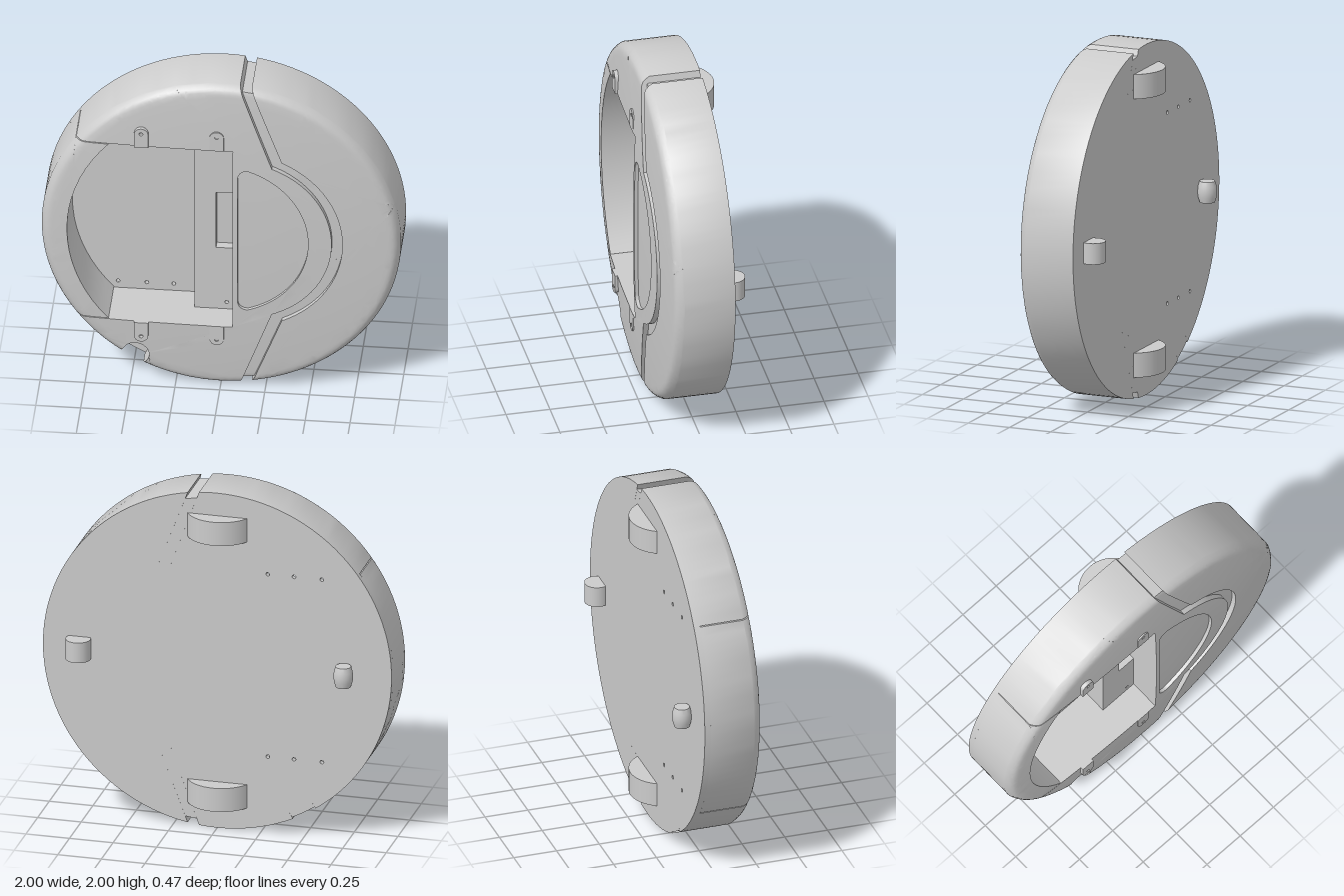
import * as THREE from 'three';
import { toCreasedNormals } from 'three/addons/utils/BufferGeometryUtils.js';

const BACK = -0.135, FLOOR = -0.1, CAVITY = 0.59;
const rad = THREE.MathUtils.degToRad;
const material = new THREE.MeshStandardMaterial({ color: 0xcccccc });
const P = (x, y) => new THREE.Vector2(x, y);

// Points along an arc, angles in degrees
function arc(cx, cy, r, a0, a1, step = 3) {
  const n = Math.max(2, Math.ceil(Math.abs(a1 - a0) / step));
  return Array.from({ length: n + 1 }, (_, i) => {
    const a = rad(a0 + (a1 - a0) * i / n);
    return P(cx + r * Math.cos(a), cy + r * Math.sin(a));
  });
}

// Front surface height: shallow crown with a rounded rim, lowered by `drop`
const crown = (drop = 0) => (x, y) => {
  const r = Math.hypot(x, y);
  const u = Math.max(0, (r - 0.94) / 0.06);
  return 0.237 - 0.04 * r ** 2.5 - 0.045 * u ** 3 - drop;
};
const flat = z => () => z;

// Extrude an outline from z = back up to the surface front(x, y),
// halving edges until the curved surface is followed closely
function plate(name, outline, back, front, holes = []) {
  const shape = new THREE.Shape(outline);
  for (const h of holes) shape.holes.push(new THREE.Path(h));
  const src = new THREE.ExtrudeGeometry(shape, { depth: 1, bevelEnabled: false });
  const flatSrc = src.index ? src.toNonIndexed() : src;
  const pos = flatSrc.attributes.position;
  const place = v => new THREE.Vector3(v.x, v.y, back + (front(v.x, v.y) - back) * v.z);
  const middle = (a, b) => a.clone().add(b).multiplyScalar(0.5);
  const splitLength = (a, b) => {
    const len = Math.hypot(a.x - b.x, a.y - b.y);
    if (len < 0.004) return 0;
    const gap = place(middle(a, b)).distanceTo(middle(place(a), place(b)));
    return len > 0.12 || gap > 0.0012 ? len : 0;
  };
  const out = [];
  const emit = (a, b, c) => {
    const ls = [splitLength(a, b), splitLength(b, c), splitLength(c, a)];
    const longest = Math.max(...ls);
    if (longest === 0) {
      for (const v of [a, b, c]) out.push(...place(v).toArray());
      return;
    }
    const k = ls.indexOf(longest);
    const [p, q, r] = k === 0 ? [a, b, c] : k === 1 ? [b, c, a] : [c, a, b];
    const m = middle(p, q);
    emit(p, m, r);
    emit(m, q, r);
  };
  for (let i = 0; i < pos.count; i += 3) {
    emit(...[0, 1, 2].map(k => new THREE.Vector3().fromBufferAttribute(pos, i + k)));
  }
  const geo = new THREE.BufferGeometry();
  geo.setAttribute('position', new THREE.Float32BufferAttribute(out, 3));
  const mesh = new THREE.Mesh(toCreasedNormals(geo, rad(35)), material);
  mesh.name = name;
  return mesh;
}

export function createModel() {
  const model = new THREE.Group();
  model.name = 'roundCleanerBody';
  const body = new THREE.Group();
  body.name = 'body';
  body.position.y = 1;
  model.add(body);
  const add = (...parts) => body.add(...parts);
  const pinHole = (x, y) => arc(x, y, 0.011, 0, 330, 30);

  const cut = THREE.MathUtils.radToDeg(Math.asin(CAVITY));
  const innerCurve = arc(0.095, 0, 0.525, -68.5, 68.5);
  const outerCurve = arc(0.095, 0, 0.585, -65, 65);
  const slotX = 0.945 * Math.cos(rad(240)), slotY = 0.945 * Math.sin(rad(240));
  const slot = arc(slotX, slotY, 0.075, 150, -30, 9);
  const dPanel = [...arc(0, 0, 0.49, -70, 70), ...arc(0.148, 0.415, 0.05, 80, 180, 10),
    ...arc(0.148, -0.415, 0.05, 180, 280, 10)];

  // Main shell, open for the bin cavity, the rim slot and the D-shaped recess
  add(plate('mainShell', [
    ...arc(0, 0, 1, 84, 180 - cut),
    P(0.07, CAVITY), P(0.07, -CAVITY),
    ...arc(0, 0, 1, 180 + cut, 235.7),
    ...slot,
    ...arc(0, 0, 1, 244.3, 276),
    ...innerCurve,
  ], BACK, crown(), [dPanel]));

  // Bumper shell on the other side of the groove
  add(plate('bumperShell', [...arc(0, 0, 1, -80.2, 80.2), ...outerCurve.slice().reverse()], BACK, crown()));

  // Sunken groove between the shells
  add(plate('grooveFloor', [
    P(0.118, 0.958), ...innerCurve.slice().reverse(), P(0.118, -0.958),
    P(0.1836, -0.949), ...outerCurve, P(0.1836, 0.949),
  ], BACK, crown(0.03)));

  // Recess floors
  add(plate('dPanelFloor', dPanel, BACK, crown(0.02)));
  add(plate('rimSlotFloor', [...slot, ...arc(0, 0, 0.99, 244.3, 235.7)], BACK, flat(0.08)));

  // Bin cavity: floor with pin holes, and the rim wall that closes its side
  const pins = [];
  for (const x of [-0.6, -0.44, -0.29]) for (const s of [1, -1]) pins.push(pinHole(x, s * 0.545));
  add(plate('cavityFloor', [
    P(0.07, -CAVITY), P(0.07, CAVITY), ...arc(0, 0, 1, 180 - cut, 180 + cut),
  ], BACK, flat(FLOOR), pins));
  const rimCut = cut - 0.35;
  const innerCut = THREE.MathUtils.radToDeg(Math.asin(Math.sin(rad(rimCut)) / 0.855));
  add(plate('rimWall', [
    ...arc(0, 0, 1, 180 - rimCut, 180 + rimCut),
    ...arc(0, 0, 0.855, 180 + innerCut, 180 - innerCut, 5),
  ], FLOOR, crown()));

  // Shelf along the straight cavity wall, with a shallow pocket
  add(plate('cavityShelf', [
    P(-0.16, -CAVITY), P(0.07, -CAVITY), P(0.07, -0.18), P(-0.04, -0.18),
    P(-0.04, 0.19), P(0.07, 0.19), P(0.07, CAVITY), P(-0.16, CAVITY),
  ], FLOOR, flat(0.05), [pinHole(0.02, 0.545), pinHole(0.02, -0.545)]));
  add(plate('shelfPocketFloor', [P(-0.04, -0.18), P(0.07, -0.18), P(0.07, 0.19), P(-0.04, 0.19)], FLOOR, flat(0)));

  // Screw tabs above and below the cavity
  for (const [x, z] of [[-0.44, 0.234], [-0.02, 0.228]]) {
    for (const s of [1, -1]) {
      add(plate('screwTab', [
        P(x + 0.04, s * CAVITY),
        ...arc(x, s * 0.675, 0.04, 0, s * 180, 15),
        P(x - 0.04, s * CAVITY),
      ], 0.18, flat(z), [pinHole(x, s * 0.68)]));
    }
  }

  // Drive wheels, half sunk in the back
  for (const s of [1, -1]) {
    const wheel = new THREE.Mesh(new THREE.CylinderGeometry(0.1945, 0.1945, 0.14, 48), material);
    wheel.name = s > 0 ? 'upperWheel' : 'lowerWheel';
    wheel.position.set(0, s * 0.795, -0.04);
    add(wheel);
  }

  // Rear roller and barrel-shaped caster
  const roller = new THREE.Mesh(new THREE.CylinderGeometry(0.07, 0.07, 0.12, 32), material);
  roller.name = 'roller';
  roller.position.set(0.79, 0, -0.165);
  const barrel = [P(0, -0.06), P(0.043, -0.06), P(0.043, -0.06), P(0.052, -0.03), P(0.055, 0),
    P(0.052, 0.03), P(0.043, 0.06), P(0.043, 0.06), P(0, 0.06)];
  const caster = new THREE.Mesh(toCreasedNormals(new THREE.LatheGeometry(barrel, 32), rad(35)), material);
  caster.name = 'caster';
  caster.position.set(-0.735, 0, -0.18);
  add(roller, caster);

  return model;
}
